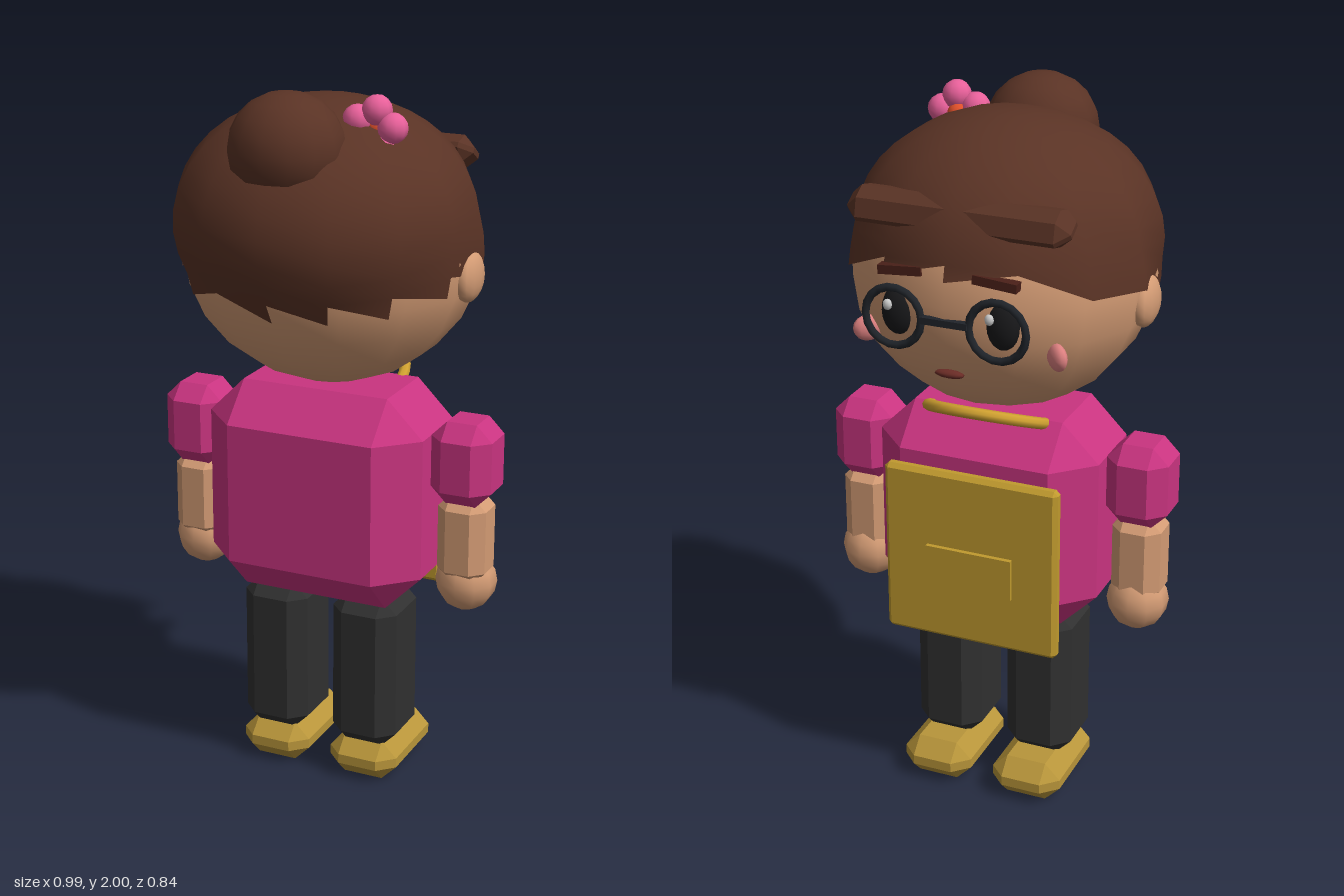
import * as THREE from 'three';
import { mergeVertices } from 'three/addons/utils/BufferGeometryUtils.js';
import { ConvexGeometry } from 'three/addons/geometries/ConvexGeometry.js';

const mat = (color, flatShading = false) =>
  new THREE.MeshStandardMaterial({ color, flatShading, side: THREE.DoubleSide });
const HAIR = mat(0x5a3325), HAIR_FLAT = mat(0x5a3325, true);
const SKIN = mat(0xd39b74), SKIN_FLAT = mat(0xd39b74, true);
const SHIRT = mat(0xc93480, true), TROUSERS = mat(0x303030, true);
const SHOE = mat(0xb8953a, true), BAG = mat(0xc09a2e, true), STRAP = mat(0xcfa030);
const PETAL = mat(0xe8609a), POLLEN = mat(0xe0502a), FRAME = mat(0x20242a);
const EYE = mat(0x18181a), GLINT = mat(0xe0e0e0), CHEEK = mat(0xdd8080);
const BROW = mat(0x4a2018, true), MOUTH = mat(0x6a2c26);

const HEAD_C = new THREE.Vector3(0, 1.55, -0.03);
const HEAD_R = new THREE.Vector3(0.415, 0.38, 0.38);

export function createModel() {
  const model = new THREE.Group();

  const add = (name, geometry, material, x = 0, y = 0, z = 0) => {
    const mesh = new THREE.Mesh(geometry, material);
    mesh.name = name;
    mesh.position.set(x, y, z);
    model.add(mesh);
    return mesh;
  };
  // Box with every edge chamfered, from the hull of its 24 corners
  const chamferBox = (name, material, [w, h, d], c, [x, y, z]) => {
    const pts = [];
    for (const i of [-1, 1]) for (const j of [-1, 1]) for (const k of [-1, 1])
      for (let full = 0; full < 3; full++)
        pts.push(new THREE.Vector3(
          i * (w / 2 - (full === 0 ? 0 : c)),
          j * (h / 2 - (full === 1 ? 0 : c)),
          k * (d / 2 - (full === 2 ? 0 : c))));
    return add(name, new ConvexGeometry(pts), material, x, y, z);
  };
  // Low-poly ellipsoid with a vertex on the z axis
  const ball = (name, material, [rx, ry, rz], [x, y, z], seg = 10, rows = 8) => {
    const g = new THREE.SphereGeometry(1, seg, rows).rotateY(Math.PI / 2);
    return add(name, g.scale(rx, ry, rz), material, x, y, z);
  };

  // Head and ears
  ball('head', SKIN, HEAD_R.toArray(), HEAD_C.toArray(), 14, 12);
  add('hair', hairCap(), HAIR);
  ball('hairBun', HAIR, [0.157, 0.148, 0.148], [0, 1.852, 0.24], 14, 10);
  chamferBox('fringe', HAIR_FLAT, [0.61, 0.085, 0.115], 0.035, [0, 1.765, -0.302]).rotation.x = -0.55;

  // Flower in the hair
  for (let i = 0; i < 5; i++) {
    const a = Math.PI / 2 - 0.15 + (i * Math.PI * 2) / 5;
    ball('flowerPetal', PETAL, [0.04, 0.04, 0.04],
      [0.19 + 0.052 * Math.cos(a), 1.895 + 0.052 * Math.sin(a), 0.122]);
  }
  ball('flowerCentre', POLLEN, [0.03, 0.03, 0.03], [0.185, 1.9, 0.1]);

  // Torso
  chamferBox('torso', SHIRT, [0.64, 0.61, 0.425], 0.105, [0, 0.86, -0.027]);

  // Mirrored parts
  for (const s of [-1, 1]) {
    const side = s > 0 ? 'left' : 'right';
    ball(side + 'Ear', SKIN, [0.035, 0.07, 0.072], [s * 0.4, 1.5, -0.025], 12, 10);
    ball(side + 'Eye', EYE, [0.045, 0.065, 0.032], [s * 0.145, 1.515, -0.37], 12, 10);
    ball(side + 'EyeGlint', GLINT, [0.013, 0.015, 0.01], [s * 0.14 + 0.018, 1.54, -0.405], 8, 6);
    ball(side + 'Cheek', CHEEK, [0.042, 0.036, 0.022], [s * 0.265, 1.425, -0.305]).rotation.y = s * 0.75;
    const brow = add(side + 'Brow', new THREE.BoxGeometry(0.12, 0.024, 0.03), BROW, s * 0.13, 1.63, -0.378);
    brow.rotation.z = -s * 0.08;
    add(side + 'LensRim', new THREE.TorusGeometry(0.078, 0.011, 6, 18), FRAME, s * 0.143, 1.51, -0.404);

    chamferBox(side + 'Sleeve', SHIRT, [0.175, 0.235, 0.183], 0.045, [s * 0.407, 0.988, -0.027]);
    chamferBox(side + 'Forearm', SKIN_FLAT, [0.14, 0.25, 0.14], 0.035, [s * 0.407, 0.765, -0.03]);
    ball(side + 'Hand', SKIN, [0.086, 0.086, 0.086], [s * 0.407, 0.632, -0.04], 10, 8);
    chamferBox(side + 'Leg', TROUSERS, [0.195, 0.46, 0.23], 0.045, [s * 0.138, 0.335, -0.025]);
    chamferBox(side + 'Shoe', SHOE, [0.206, 0.118, 0.33], 0.045, [s * 0.138, 0.063, -0.07]);
  }

  // Glasses bridge and mouth
  add('glassesBridge', new THREE.BoxGeometry(0.13, 0.018, 0.02), FRAME, 0, 1.515, -0.408);
  ball('mouth', MOUTH, [0.042, 0.011, 0.015], [0, 1.365, -0.378]);

  // Satchel with its pocket and neck strap
  chamferBox('bag', BAG, [0.505, 0.505, 0.04], 0.012, [0, 0.768, -0.247]);
  add('bagPocket', new THREE.BoxGeometry(0.25, 0.12, 0.03), BAG, 0, 0.74, -0.265);
  const strap = new THREE.TorusGeometry(0.165, 0.016, 8, 16, Math.PI).rotateX(-Math.PI / 2);
  add('bagStrap', strap, STRAP, 0, 1.152, -0.13).rotation.x = 0.42;

  return model;
}

// Hair: a flattened dome whose rim drops from the forehead to the nape,
// kept just outside the head
function hairCap() {
  const seg = 14, centreY = 1.63, centreZ = 0.008;
  const rim = [1.42, 1.427, 1.442, 1.475, 1.5, 1.57, 1.605, 1.62]; // nape to forehead
  const g = new THREE.SphereGeometry(1, seg, 12);
  const pos = g.attributes.position, uv = g.attributes.uv;
  const p = new THREE.Vector3();
  for (let i = 0; i < pos.count; i++) {
    const step = Math.round(uv.getX(i) * seg) % seg;
    const a = (step / seg) * Math.PI * 2;
    const low = rim[Math.min(step, seg - step)];
    const t = (1 - uv.getY(i)) * Math.acos((low - centreY) / 0.325);
    p.set(0.415 * Math.sin(t) * Math.sin(a),
      centreY + 0.325 * Math.cos(t),
      centreZ + 0.41 * Math.sin(t) * Math.cos(a));
    p.sub(HEAD_C).divide(HEAD_R);
    if (p.length() < 1.02) p.setLength(1.02);
    p.multiply(HEAD_R).add(HEAD_C);
    pos.setXYZ(i, p.x, p.y, p.z);
  }
  g.deleteAttribute('uv');
  g.deleteAttribute('normal');
  const merged = mergeVertices(g, 1e-4);
  merged.computeVertexNormals();
  return merged;
}
